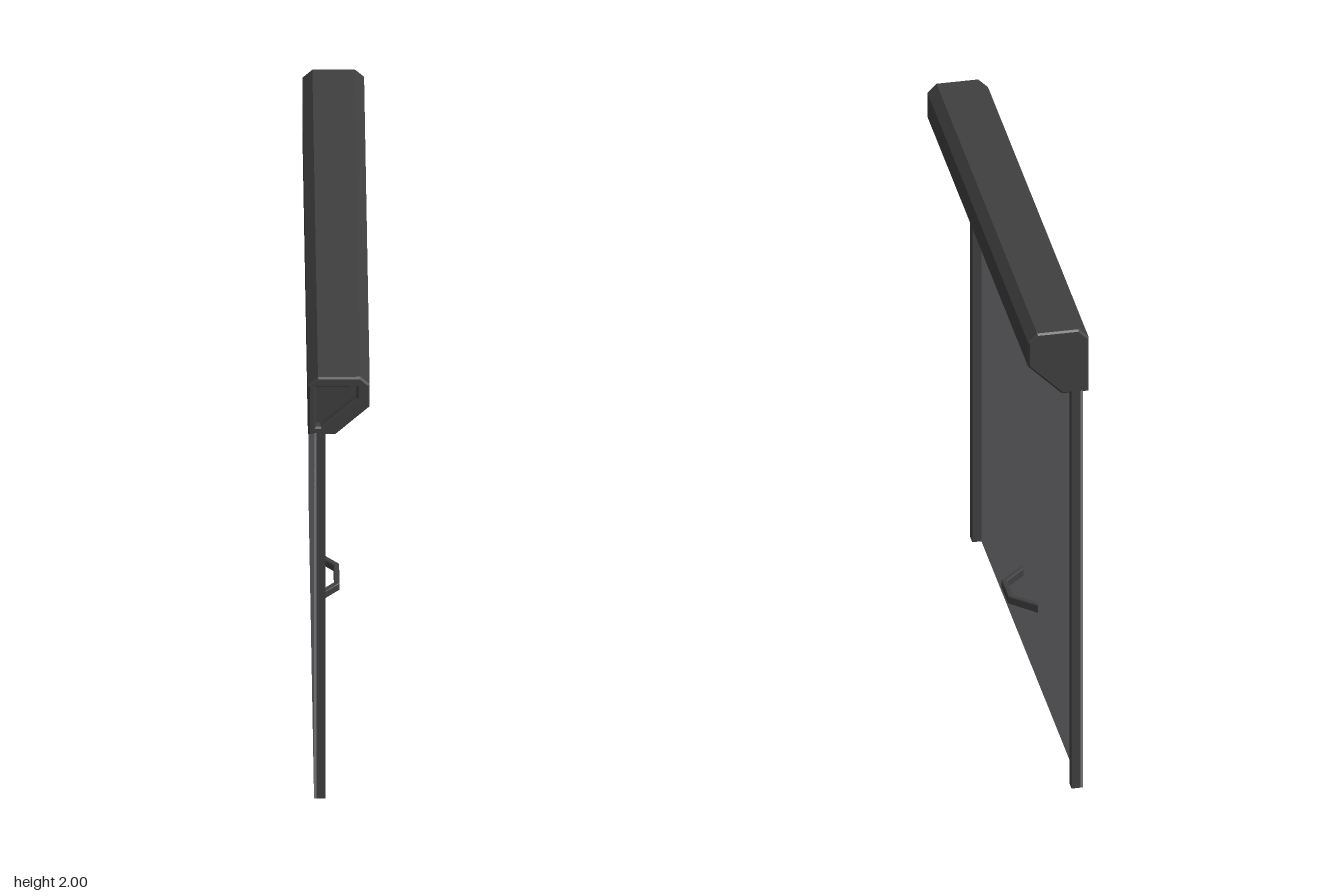
import * as THREE from 'three';

const frameMat = new THREE.MeshStandardMaterial({ color: 0x3f3f3f });
frameMat.name = 'dark grey metal';
const curtainMat = new THREE.MeshStandardMaterial({ color: 0x7d7b80 });
curtainMat.name = 'light grey curtain';

const toPoints = (list) => list.map(([x, y]) => new THREE.Vector2(x, y));

function addMesh(parent, name, geometry, material) {
  const mesh = new THREE.Mesh(geometry, material);
  mesh.name = name;
  parent.add(mesh);
  return mesh;
}

// Extrudes a profile from z0 to z1 with small chamfers inside that span
function chamferedExtrude(shape, z0, z1, chamfer) {
  const geometry = new THREE.ExtrudeGeometry(shape, {
    depth: z1 - z0 - 2 * chamfer,
    bevelEnabled: true,
    bevelSegments: 1,
    bevelSize: chamfer,
    bevelThickness: chamfer,
    bevelOffset: -chamfer,
  });
  return geometry.translate(0, 0, z0 + chamfer);
}

export function createModel() {
  const model = new THREE.Group();
  model.name = 'rollerShutter';

  // Roller housing: solid body with a recessed end on +z
  const profile = toPoints([
    [-0.118, 1.728], [-0.015, 1.728], [0.115, 1.86], [0.115, 1.965],
    [0.08, 2], [-0.08, 2], [-0.118, 1.962],
  ]);
  const recess = toPoints([
    [-0.087, 1.765], [-0.07, 1.765], [0.066, 1.9], [0.066, 1.955], [-0.087, 1.955],
  ]);
  const housing = new THREE.Group();
  housing.name = 'housing';
  model.add(housing);
  addMesh(housing, 'housingBody',
    chamferedExtrude(new THREE.Shape(profile), -0.955, 0.925, 0.007), frameMat);
  const rim = new THREE.Shape(profile);
  rim.holes.push(new THREE.Path(recess.slice().reverse()));
  addMesh(housing, 'housingEndRim', chamferedExtrude(rim, 0.88, 0.955, 0.007), frameMat);

  // Curtain: a thin full-width sheet behind the rails
  addMesh(model, 'curtain',
    new THREE.BoxGeometry(0.009, 1.74, 1.91).translate(-0.0905, 0.87, 0), curtainMat);

  // Guide rails on both edges
  for (const side of [1, -1]) {
    addMesh(model, side > 0 ? 'frontRail' : 'backRail',
      new THREE.BoxGeometry(0.042, 1.74, 0.04).translate(-0.072, 0.87, side * 0.935), frameMat);
  }

  // Pull handle: a bent flat bar
  const handleShape = new THREE.Shape(toPoints([
    [-0.088, 0.155], [-0.088, 0.128], [-0.01, 0.053], [-0.01, -0.053],
    [-0.088, -0.128], [-0.088, -0.155], [0.011, -0.062], [0.011, 0.062],
  ]));
  const handle = chamferedExtrude(handleShape, 0, 0.034, 0.003);
  handle.rotateX(Math.PI / 2).translate(0, 0.335, 0);
  addMesh(model, 'handle', handle, frameMat);

  return model;
}
